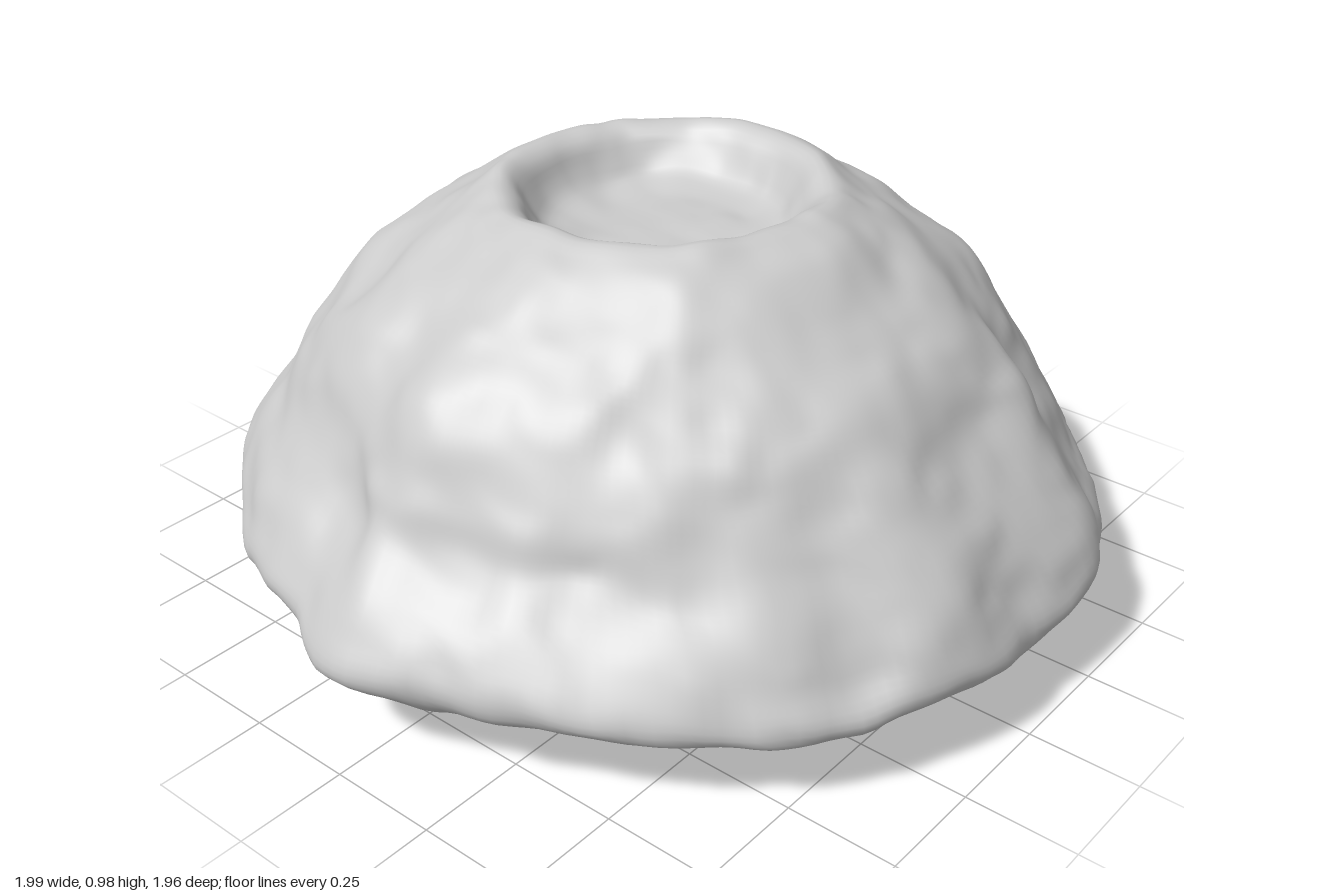
import * as THREE from 'three';
import { mergeVertices } from 'three/addons/utils/BufferGeometryUtils.js';

// Rim radius every 15 degrees, from +x towards +z
const OUTLINE = [.99, .97, 1.03, .99, 1, 1, .97, .97, .96, .94, .92, .93,
  1, .93, .96, .95, .96, .97, .98, .95, .95, 1.02, 1, 1];

// Ridges and gullies: angle, height, angular width, height width, radial push
const FEATURES = [
  [57, .48, 8, .22, -.055], [70, .52, 7, .2, .025], [21, .45, 7, .2, -.045],
  [-14, .68, 16, .12, -.05], [0, .38, 20, .1, .02], [-38, .52, 9, .2, -.025],
  [182, .42, 30, .09, -.05], [170, .68, 28, .08, .02], [145, .42, 14, .1, -.03],
  [103, .45, 8, .2, .025], [117, .45, 8, .2, -.03], [95, .58, 10, .08, -.015],
  [270, .58, 26, .16, .03], [245, .74, 14, .06, .015], [205, .52, 14, .06, -.015],
];

// Lumps hanging below the base: x, z, width, drop
const LUMPS = [[-.7, .05, .15, .03], [.26, -.58, .17, .055], [.68, -.14, .14, .025],
  [.1, .8, .18, .035], [-.35, -.25, .15, .02]];

// Closed cross-section: underside, sharp rim, steep flank, lip, crater floor
const PROFILE = [[0, 0], [.2, .01], [.35, .04], [.5, .08], [.65, .1], [.8, .125],
  [.93, .16], [.99, .195], [1, .23], [.975, .295], [.93, .38], [.86, .475], [.785, .585],
  [.715, .675], [.6, .775], [.49, .86], [.41, .915], [.355, .94], [.32, .925],
  [.29, .875], [.26, .835], [.2, .815], [.1, .81], [0, .81]];

const smooth = (t) => t * t * (3 - 2 * t);
const ramp = (v, from, to) => smooth(THREE.MathUtils.clamp((v - from) / (to - from), 0, 1));

function hash(i, j, k) {
  let h = Math.imul(i, 374761393) + Math.imul(j, 668265263) + Math.imul(k, 1274126177);
  h = Math.imul(h ^ (h >>> 13), 1103515245);
  return ((h ^ (h >>> 16)) >>> 0) / 2147483648 - 1;
}

// Smooth lattice noise in -1..1
function noise(x, y, z) {
  const i = Math.floor(x), j = Math.floor(y), k = Math.floor(z);
  const u = smooth(x - i), v = smooth(y - j), w = smooth(z - k);
  let sum = 0;
  for (let n = 0; n < 8; n++) {
    const a = n & 1, b = (n >> 1) & 1, c = n >> 2;
    sum += hash(i + a, j + b, k + c) * (a ? u : 1 - u) * (b ? v : 1 - v) * (c ? w : 1 - w);
  }
  return sum;
}

function rimRadius(deg) {
  const s = deg / 15, i = Math.floor(s), t = smooth(s - i);
  return OUTLINE[i % 24] * (1 - t) + OUTLINE[(i + 1) % 24] * t;
}

function featurePush(deg, y) {
  let push = 0;
  for (const [a, h, wa, wh, amount] of FEATURES) {
    const d = ((deg - a + 540) % 360) - 180;
    push += amount * Math.exp(-((d / wa) ** 2) - ((y - h) / wh) ** 2);
  }
  return push;
}

function lumpDrop(x, z) {
  let drop = 0;
  for (const [cx, cz, w, d] of LUMPS) drop += d * Math.exp(-((x - cx) ** 2 + (z - cz) ** 2) / (w * w));
  return drop;
}

function createRock() {
  const curve = new THREE.CatmullRomCurve3(
    PROFILE.map(([r, y]) => new THREE.Vector3(r, y, 0)), false, 'centripetal');
  const points = curve.getSpacedPoints(150).map((p) => new THREE.Vector2(Math.max(p.x, 0), p.y));
  points[0].x = points[points.length - 1].x = 0;
  let geo = new THREE.LatheGeometry(points, 200);
  geo.deleteAttribute('uv');
  geo.deleteAttribute('normal');
  geo = mergeVertices(geo, 1e-5);

  const pos = geo.attributes.position;
  for (let i = 0; i < pos.count; i++) {
    let x = pos.getX(i), y = pos.getY(i), z = pos.getZ(i);
    const r = Math.hypot(x, z), height = y;
    const deg = (Math.atan2(z, x) * 180 / Math.PI + 360) % 360;

    // Uneven outline and gullies, fading towards the crater and the base
    const outline = 1 + (rimRadius(deg) - 1) * ramp(r, .3, .9);
    const push = featurePush(deg, height) * ramp(r, .35, .55) * ramp(height, .18, .3);
    const k = outline + (r > 0 ? push / r : 0);
    x = x * k + .02 * ramp(height, .3, .9);
    z *= k;

    // Rim sits lower at the front; lumps hang from the underside
    y -= .025 * z * ramp(r, .5, .95);
    y -= lumpDrop(x, z) * (1 - ramp(height, .13, .22));

    // Weathered lumps, from broad to fine
    const shift = [0, 0, 0];
    for (const [f, amp] of [[3.7, .012], [7, .013], [14, .006]]) {
      for (let c = 0; c < 3; c++) {
        shift[c] += amp * noise(x * f + c * 31, y * f + c * 17, z * f + 5);
      }
    }
    pos.setXYZ(i, x + shift[0], y + shift[1], z + shift[2]);
  }

  // Centre on the ground
  geo.computeBoundingBox();
  const mid = geo.boundingBox.getCenter(new THREE.Vector3());
  geo.translate(-mid.x, -geo.boundingBox.min.y, -mid.z);
  geo.computeVertexNormals();
  return geo;
}

export function createModel() {
  const group = new THREE.Group();
  const rock = new THREE.Mesh(createRock(), new THREE.MeshStandardMaterial({ color: 0xcccccc }));
  rock.name = 'crateredRock';
  group.add(rock);
  return group;
}
